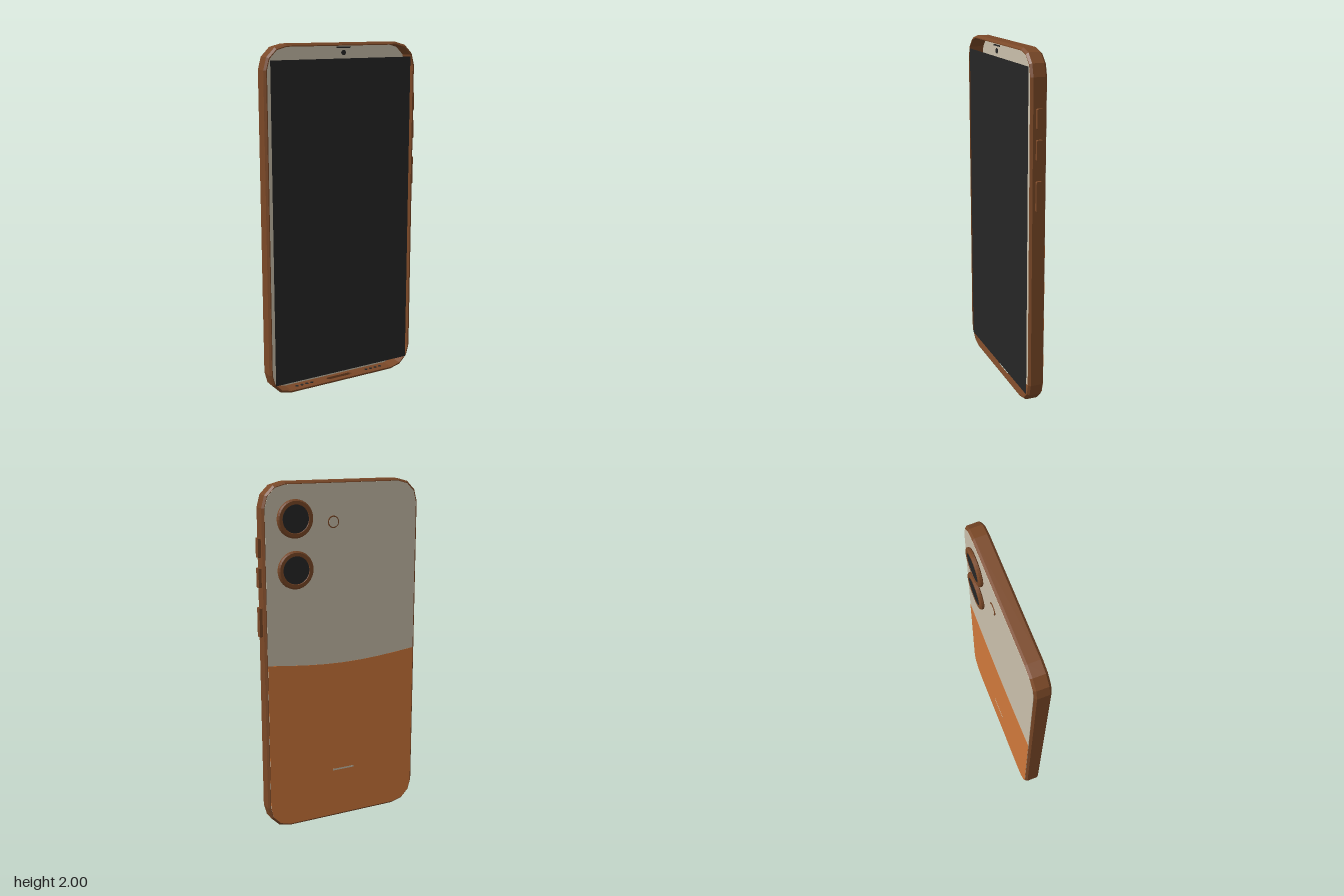
import * as THREE from 'three';

const CX = -0.0085, CY = 1.004, HW = 0.4825, HH = 0.996, R = 0.135;

const material = (name, color, side = THREE.FrontSide) => {
  const m = new THREE.MeshStandardMaterial({ color, side });
  m.name = name;
  return m;
};

// Rounded outline, counter-clockwise from the bottom right corner
function outline(inset) {
  const pts = [], r = R - inset;
  [[1, -1], [1, 1], [-1, 1], [-1, -1]].forEach(([sx, sy], c) => {
    for (let i = 0; i <= 3; i++) {
      const a = (c - 1 + i / 3) * Math.PI / 2;
      pts.push(new THREE.Vector2(
        CX + sx * (HW - R) + r * Math.cos(a),
        CY + sy * (HH - R) + r * Math.sin(a)));
    }
  });
  return pts;
}

// Hollow frame: a chamfered section carried round the outline, open at the port plate
function frameGeometry() {
  const section = [[0, -0.023], [0, 0.043], [0.011, 0.055], [0.016, 0.055],
    [0.016, 0.043], [0.016, -0.023], [0.016, -0.035], [0.011, -0.035]];
  const rings = section.map(([d, z]) => outline(d).map(p => [p.x, p.y, z]));
  const pos = [], n = rings[0].length;
  for (let k = 0; k < rings.length; k++) {
    const a = rings[k], b = rings[(k + 1) % rings.length];
    for (let j = 0; j < n; j++) {
      if (j === n - 1 && (k === 0 || k === 4)) continue;
      const i = (j + 1) % n;
      pos.push(...a[j], ...a[i], ...b[i], ...a[j], ...b[i], ...b[j]);
    }
  }
  const g = new THREE.BufferGeometry();
  g.setAttribute('position', new THREE.Float32BufferAttribute(pos, 3));
  g.computeVertexNormals();
  return g;
}

// Bottom wall with the port slot cut through
function portPlateGeometry() {
  const w = HW - R, s = new THREE.Shape();
  s.moveTo(CX - w, -0.023).lineTo(CX + w, -0.023).lineTo(CX + w, 0.043).lineTo(CX - w, 0.043);
  const slot = new THREE.Path();
  slot.absarc(CX + 0.072, 0.01, 0.014, -Math.PI / 2, Math.PI / 2);
  slot.absarc(CX - 0.072, 0.01, 0.014, Math.PI / 2, Math.PI * 1.5);
  s.holes.push(slot);
  return new THREE.ExtrudeGeometry(s, { depth: 0.016, bevelEnabled: false, curveSegments: 6 })
    .rotateX(Math.PI / 2).translate(0, 0.024, 0);
}

const plate = (pts, z, depth) =>
  new THREE.ExtrudeGeometry(new THREE.Shape(pts), { depth, bevelEnabled: false }).translate(0, 0, z);

export function createModel() {
  const model = new THREE.Group();
  const brown = material('frame brown', 0x7a4827);
  const beige = material('panel beige', 0xc9bfaa);
  const orange = material('panel orange', 0xcf783b);
  const dark = material('glass black', 0x262626);

  const add = (name, geometry, mat, x = 0, y = 0, z = 0, parent = model) => {
    const mesh = new THREE.Mesh(geometry, mat);
    mesh.name = name;
    mesh.position.set(x, y, z);
    parent.add(mesh);
    return mesh;
  };

  add('frame', frameGeometry(), brown);
  add('portPlate', portPlateGeometry(), brown);

  // Back panel and its two-tone lower half
  const back = outline(0.014);
  add('backPanel', plate(back, -0.037, 0.007), beige);
  const right = back[0].x + R - 0.014, left = 2 * CX - right, edge = [];
  for (let i = 0; i <= 8; i++) {
    const t = i / 8;
    edge.push(new THREE.Vector2(right + (left - right) * t, 1 - 0.035 * Math.sin(Math.PI * t)));
  }
  add('lowerBackPanel', plate([...back.slice(0, 4), ...edge, ...back.slice(12)], -0.038, 0.001), orange);
  add('backBar', new THREE.BoxGeometry(0.14, 0.01, 0.002), beige, CX, 0.31, -0.038);

  // Screen, front camera and earpiece
  add('screen', new THREE.PlaneGeometry(0.895, 1.84), dark, CX, 0.995, 0.056);
  add('frontCamera', new THREE.CylinderGeometry(0.014, 0.014, 0.004, 16).rotateX(Math.PI / 2), dark, CX, 1.947, 0.056);
  add('earpiece', new THREE.BoxGeometry(0.09, 0.008, 0.003), dark, CX, 1.976, 0.055);

  // Rear cameras
  const profile = [[0, 0], [0.097, 0], [0.105, 0.006], [0.105, 0.018], [0.097, 0.025], [0.08, 0.025], [0.077, 0.022], [0, 0.022]]
    .map(p => new THREE.Vector2(...p));
  for (const y of [1.803, 1.525]) {
    const cam = new THREE.Group();
    cam.name = 'rearCamera';
    cam.position.set(0.29, y, -0.036);
    cam.rotation.x = -Math.PI / 2;
    model.add(cam);
    const ring = new THREE.LatheGeometry(profile, 32).toNonIndexed();
    ring.computeVertexNormals();
    add('cameraRing', ring, brown, 0, 0, 0, cam);
    add('cameraLens', new THREE.CylinderGeometry(0.077, 0.077, 0.003, 32), dark, 0, 0.022, 0, cam);
  }

  // Flash
  add('flashRing', new THREE.CylinderGeometry(0.034, 0.034, 0.007, 20).rotateX(Math.PI / 2), brown, 0.055, 1.775, -0.038);
  add('flashLamp', new THREE.CylinderGeometry(0.028, 0.028, 0.002, 20).rotateX(Math.PI / 2), beige, 0.055, 1.775, -0.0415);

  // Side buttons
  const buttonShape = h => {
    const w = 0.017, c = 0.005;
    return [[-w + c, -h], [w - c, -h], [w, -h + c], [w, h - c], [w - c, h], [-w + c, h], [-w, h - c], [-w, -h + c]]
      .map(p => new THREE.Vector2(...p));
  };
  for (const [y, h] of [[1.653, 0.053], [1.49, 0.055], [1.243, 0.083]]) {
    add('sideButton', plate(buttonShape(h), 0, 0.024).rotateY(Math.PI / 2), brown, 0.467, y, 0.01);
  }

  // Speaker and microphone holes
  for (const side of [-1, 1]) {
    for (let i = 0; i < 4; i++) {
      add('speakerHole', new THREE.CylinderGeometry(0.01, 0.01, 0.024, 12), dark, CX + side * (0.19 + i * 0.033), 0.014, 0.01);
    }
  }
  return model;
}
